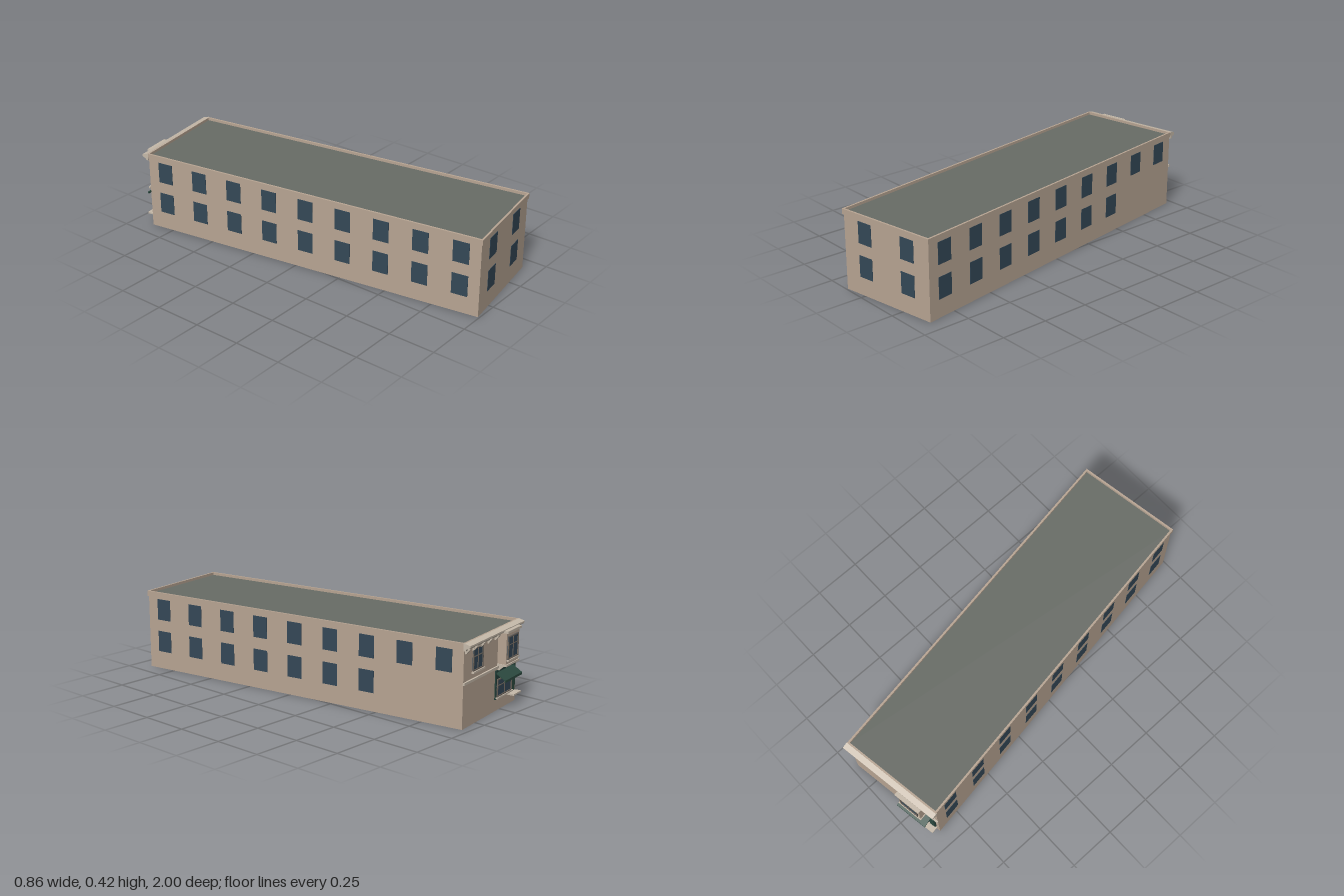
import * as THREE from 'three';

const W = 0.549, L = 1.895, WALL_H = 0.39, TOP = 0.418;
const mat = (color) => new THREE.MeshStandardMaterial({ color });
const wall = mat(0xb8a593), trim = mat(0xc6baaa), roofMat = mat(0x686c66);
const glass = mat(0x344857), frameMat = mat(0x6f665d), green = mat(0x2c4a40), darkGreen = mat(0x24403a);

// Box centred on x, y; its back face sits at z0 and it is d deep
function box(parent, name, material, w, h, d, x, y, z0) {
  const m = new THREE.Mesh(new THREE.BoxGeometry(w, h, d), material);
  m.name = name;
  m.position.set(x, y, z0 + d / 2);
  parent.add(m);
  return m;
}

// A facade group: x runs along the wall, z points out of it
function facade(parent, name, x, z, angle) {
  const g = new THREE.Group();
  g.name = name;
  g.position.set(x, 0, z);
  g.rotation.y = angle;
  parent.add(g);
  return g;
}

// Framed sash window: glass, surround, mullion and transom
function sashWindow(parent, name, w, h, x, y, z) {
  const g = facade(parent, name, x, z, 0);
  const t = 0.006;
  box(g, 'glass', glass, w, h, 0.002, 0, y, 0);
  for (const s of [-1, 1]) {
    box(g, 'jamb', frameMat, t, h, 0.006, s * (w - t) / 2, y, 0);
    box(g, 'rail', frameMat, w, t, 0.006, 0, y + s * (h - t) / 2, 0);
  }
  box(g, 'mullion', frameMat, 0.004, h, 0.005, 0, y, 0);
  box(g, 'transom', frameMat, w, 0.004, 0.005, 0, y + h * 0.12, 0);
  return g;
}

function rect(path, w, l) {
  path.moveTo(-w / 2, -l / 2);
  path.lineTo(w / 2, -l / 2);
  path.lineTo(w / 2, l / 2);
  path.lineTo(-w / 2, l / 2);
  path.closePath();
  return path;
}

// Prism from a side profile of [out, up] points, width w along x
function prism(parent, name, material, pts, w, x) {
  const shape = new THREE.Shape(pts.map(([z, y]) => new THREE.Vector2(-z, y)));
  const geo = new THREE.ExtrudeGeometry(shape, { depth: w, bevelEnabled: false });
  geo.translate(0, 0, -w / 2).rotateY(Math.PI / 2);
  const m = new THREE.Mesh(geo, material);
  m.name = name;
  m.position.x = x;
  parent.add(m);
}

export function createModel() {
  const model = new THREE.Group();
  model.name = 'building';
  const b = new THREE.Group();
  b.name = 'rotatedBuilding';
  b.position.set(0.0025, 0, 0.014);
  b.rotation.y = 0.1553;
  model.add(b);

  // Main block, parapet ring and sunken roof
  box(b, 'walls', wall, W, WALL_H, L, 0, WALL_H / 2, -L / 2);
  const ring = rect(new THREE.Shape(), W + 0.012, L + 0.012);
  ring.holes.push(rect(new THREE.Path(), W - 0.008, L - 0.008));
  const parapet = new THREE.Mesh(
    new THREE.ExtrudeGeometry(ring, { depth: TOP - WALL_H, bevelEnabled: false }).rotateX(-Math.PI / 2), wall);
  parapet.name = 'parapet';
  parapet.position.y = WALL_H;
  b.add(parapet);
  box(b, 'roof', roofMat, W - 0.008, 0.014, L - 0.008, 0, 0.397, -(L - 0.008) / 2);

  // Plain windows on the front and the two long sides
  const rows = [0.15, 0.324];
  const pane = (g, x, y) => box(g, 'window', glass, 0.085, 0.112, 0.002, x, y, 0);
  const front = facade(b, 'frontWindows', 0, L / 2, 0);
  const right = facade(b, 'rightWindows', W / 2, 0, Math.PI / 2);
  const left = facade(b, 'leftWindows', -W / 2, 0, -Math.PI / 2);
  rows.forEach((y, row) => {
    for (const s of [-1, 1]) pane(front, s * W / 4, y);
    for (let i = 0; i < 9; i++) {
      const z = 0.845 - i * 0.2112;
      pane(left, z, y);
      if (row === 1 || i < 7) pane(right, -z, y);
    }
  });

  // Street facade at the back
  const f = facade(b, 'streetFacade', 0, -L / 2, Math.PI);
  const bx = W / 4;

  // Cornice with brackets, and belt course
  prism(f, 'cornice', trim, [[0, 0.382], [0.012, 0.382], [0.016, 0.392], [0.03, 0.396],
    [0.035, 0.402], [0.035, 0.41], [0.006, 0.418], [0, 0.418]], W + 0.016, 0);
  for (let i = 0; i < 8; i++) {
    prism(f, 'corniceBracket', trim, [[0, 0.362], [0.008, 0.366], [0.024, 0.386], [0.024, 0.395], [0, 0.395]],
      0.012, -0.258 + i * 0.0737);
  }
  box(f, 'beltCourse', trim, W + 0.008, 0.012, 0.009, 0, 0.222, 0);

  // Upper window with sill and lintel
  sashWindow(f, 'upperWindow', 0.1, 0.112, -bx, 0.317, 0);
  box(f, 'windowSill', trim, 0.116, 0.008, 0.012, -bx, 0.257, 0);
  box(f, 'windowLintel', trim, 0.112, 0.007, 0.008, -bx, 0.376, 0);

  // Projecting bay window
  box(f, 'bay', wall, 0.134, 0.172, 0.045, bx, 0.314, 0);
  sashWindow(f, 'bayWindow', 0.108, 0.115, bx, 0.318, 0.045);
  box(f, 'bayBase', trim, 0.142, 0.01, 0.05, bx, 0.233, 0);
  box(f, 'baySill', trim, 0.12, 0.007, 0.009, bx, 0.256, 0.045);
  box(f, 'bayCornice', trim, 0.148, 0.012, 0.056, bx, 0.4, 0);
  for (const s of [-1, 1]) {
    prism(f, 'bayBracket', trim, [[0, 0.2], [0.008, 0.203], [0.035, 0.228], [0, 0.228]], 0.01, bx + s * 0.06);
  }

  // Shopfront: green surround, display window, door, awning and ledge
  box(f, 'shopSurround', darkGreen, 0.206, 0.145, 0.006, 0.153, 0.133, 0);
  sashWindow(f, 'shopWindow', 0.155, 0.09, bx, 0.117, 0.006);
  box(f, 'shopSill', trim, 0.17, 0.007, 0.016, bx, 0.068, 0);
  box(f, 'shopDoor', green, 0.03, 0.13, 0.004, 0.236, 0.13, 0.006);
  prism(f, 'awning', green, [[0, 0.2], [0.055, 0.165], [0.055, 0.153], [0.051, 0.153], [0.051, 0.162], [0, 0.194]],
    0.18, 0.142);
  box(f, 'entranceLedge', trim, 0.08, 0.008, 0.04, 0.222, 0.056, 0);

  return model;
}
